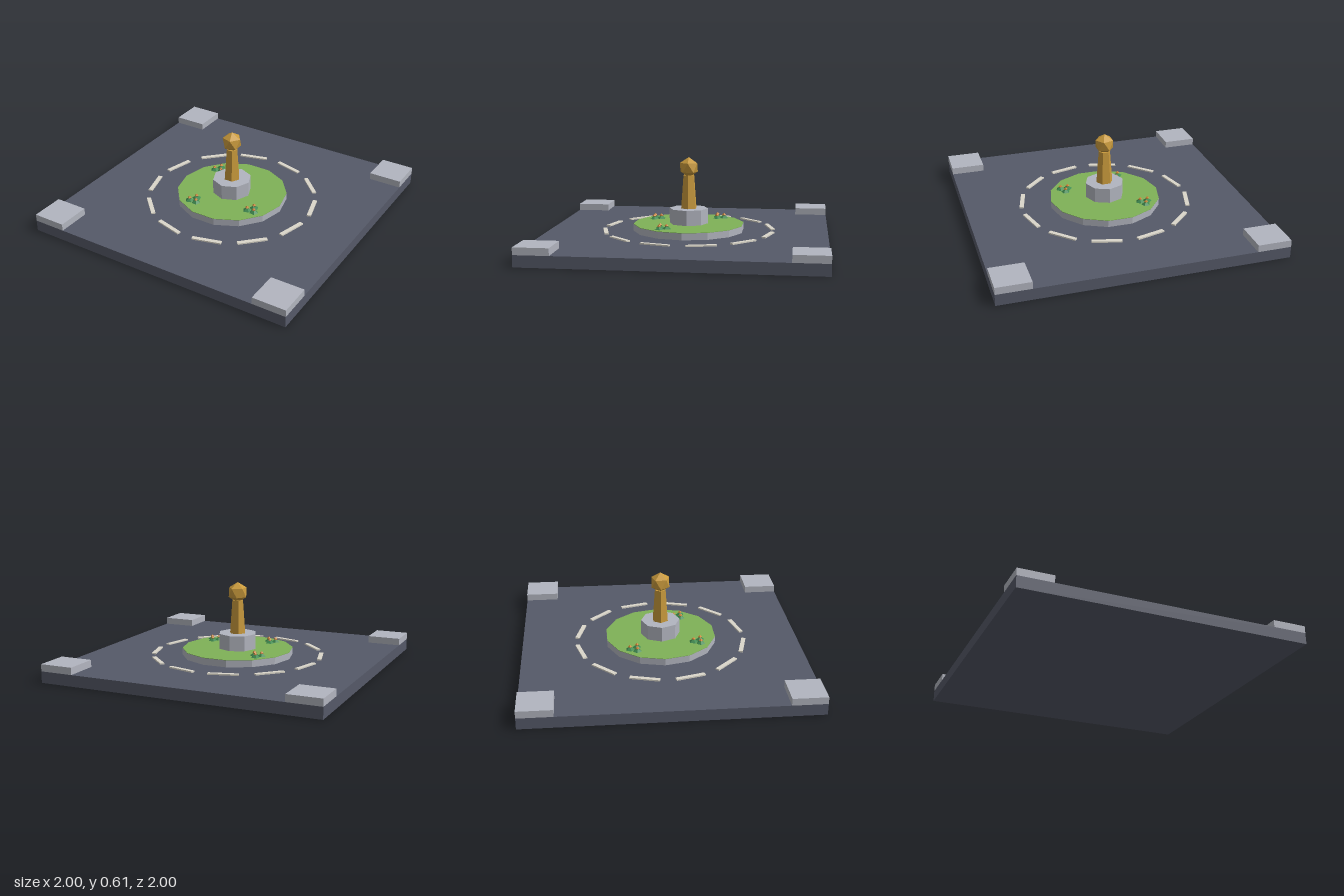
import * as THREE from 'three';

const material = (color) => new THREE.MeshStandardMaterial({ color, flatShading: true });

export function createModel() {
  const model = new THREE.Group();
  const asphalt = material(0x555968);
  const stone = material(0xb2b5bf);
  const paint = material(0xdad6ca);
  const grassGreen = material(0x7fb257);
  const leafGreen = material(0x3f8a50);
  const gold = material(0xc99a3c);
  const petal = material(0xd08a3a);

  const add = (parent, name, geometry, mat, x, y, z) => {
    const mesh = new THREE.Mesh(geometry, mat);
    mesh.name = name;
    mesh.position.set(x, y, z);
    parent.add(mesh);
    return mesh;
  };

  // Prism standing between two heights, with a corner on the +x axis
  const prism = (name, topR, bottomR, y0, y1, sides, mat) =>
    add(model, name, new THREE.CylinderGeometry(topR, bottomR, y1 - y0, sides).rotateY(Math.PI / 2),
      mat, 0, (y0 + y1) / 2, 0);

  // Road slab and raised pavement corners
  add(model, 'roadSlab', new THREE.BoxGeometry(2, 0.08, 2), asphalt, 0, 0.04, 0);
  const corner = new THREE.BoxGeometry(0.24, 0.05, 0.24);
  for (const x of [-0.88, 0.88])
    for (const z of [-0.88, 0.88]) add(model, 'pavementCorner', corner, stone, x, 0.105, z);

  // Ring of painted lane dashes
  const dash = new THREE.BoxGeometry(0.03, 0.01, 0.21);
  for (let i = 0; i < 12; i++) {
    const a = ((i + 0.5) * Math.PI) / 6;
    add(model, 'laneDash', dash, paint, 0.6 * Math.cos(a), 0.085, -0.6 * Math.sin(a)).rotation.y = a;
  }

  // Central island with grass top
  prism('islandKerb', 0.4, 0.4, 0.08, 0.128, 14, stone);
  prism('grass', 0.4, 0.4, 0.128, 0.131, 14, grassGreen);

  // Monument: octagonal pedestal, tapered column, faceted ball
  prism('pedestal', 0.14, 0.14, 0.13, 0.24, 8, stone);
  prism('column', 0.042, 0.06, 0.24, 0.48, 6, gold);
  const ball = new THREE.IcosahedronGeometry(0.074, 0)
    .rotateX(-Math.atan((1 + Math.sqrt(5)) / 2)) // one corner straight up
    .rotateY(Math.PI / 2);
  add(model, 'monumentBall', ball, gold, 0, 0.536, 0);

  // Flower clumps on the grass
  const leaves = new THREE.ConeGeometry(0.034, 0.026, 5);
  const bloom = new THREE.OctahedronGeometry(0.015, 0);
  for (const [x, z] of [[-0.24, -0.195], [0.26, 0.163], [-0.16, 0.265]]) {
    const clump = new THREE.Group();
    clump.name = 'flowerClump';
    clump.position.set(x, 0.13, z);
    [[0, -0.04], [-0.027, 0.01], [0.027, 0.01]].forEach(([dx, dz], i) => {
      add(clump, 'leaves', leaves, leafGreen, dx, 0.013, dz).rotation.y = i * 0.9;
      add(clump, 'bloom', bloom, petal, dx, 0.023, dz);
    });
    model.add(clump);
  }
  return model;
}
